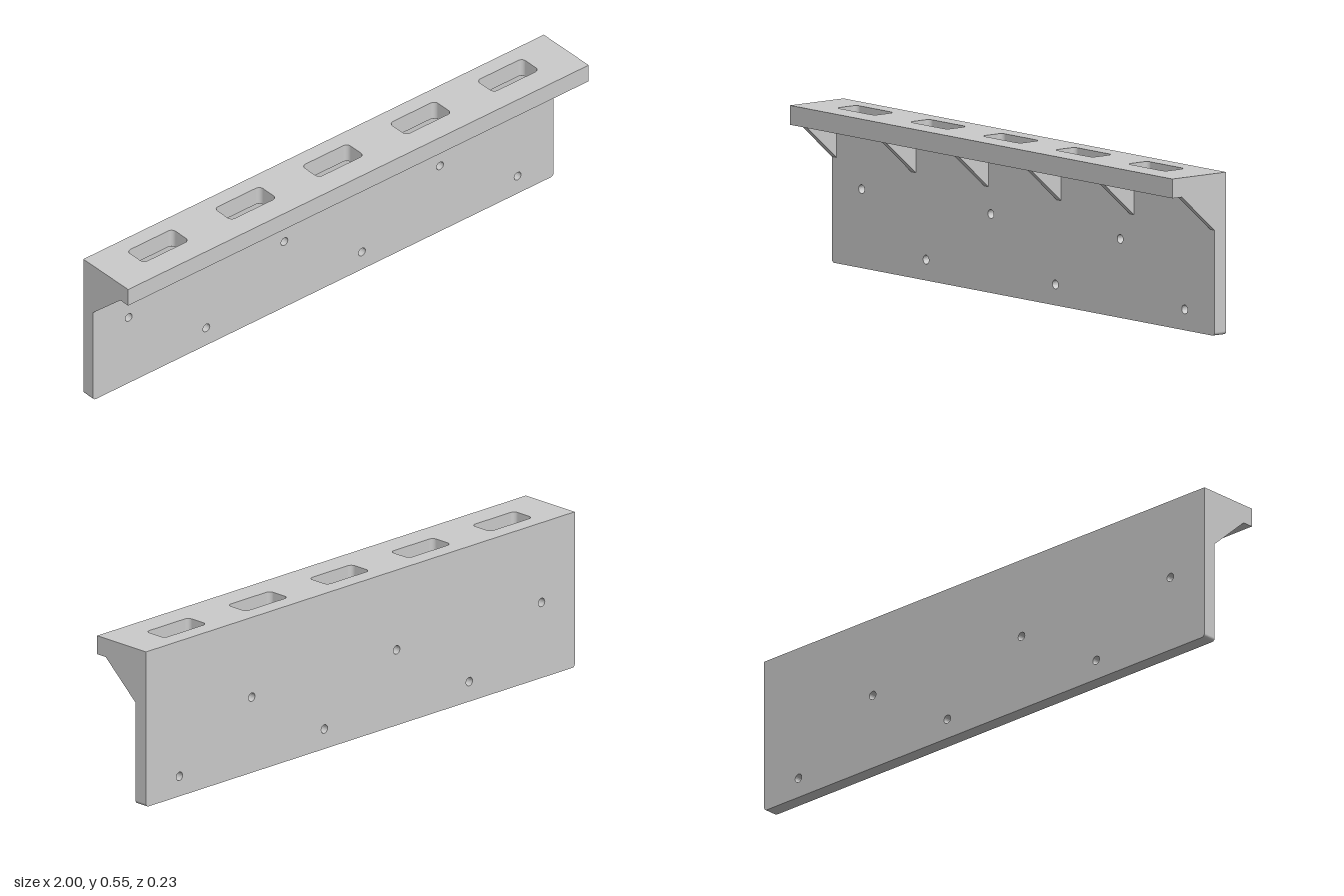
import * as THREE from 'three';

const BACK = -0.115, FRONT = 0.115, PLATE_FRONT = -0.065;
const TOP = 0.545, SHELF_BOTTOM = 0.48;

const material = new THREE.MeshStandardMaterial({ color: 0xcccccc });

// Rectangle path with separate radii for the lower and upper corners
function roundedRect(path, x0, y0, x1, y1, rLow, rHigh) {
  path.moveTo(x0 + rLow, y0);
  path.lineTo(x1 - rLow, y0);
  if (rLow) path.absarc(x1 - rLow, y0 + rLow, rLow, -Math.PI / 2, 0);
  path.lineTo(x1, y1 - rHigh);
  if (rHigh) path.absarc(x1 - rHigh, y1 - rHigh, rHigh, 0, Math.PI / 2);
  path.lineTo(x0 + rHigh, y1);
  if (rHigh) path.absarc(x0 + rHigh, y1 - rHigh, rHigh, Math.PI / 2, Math.PI);
  path.lineTo(x0, y0 + rLow);
  if (rLow) path.absarc(x0 + rLow, y0 + rLow, rLow, Math.PI, Math.PI * 1.5);
  return path;
}

function extrude(shape, depth) {
  return new THREE.ExtrudeGeometry(shape, { depth, bevelEnabled: false, curveSegments: 10 });
}

export function createModel() {
  const model = new THREE.Group();
  model.name = 'wallBracketRail';

  const add = (name, geometry) => {
    const mesh = new THREE.Mesh(geometry, material);
    mesh.name = name;
    model.add(mesh);
    return mesh;
  };

  // Back plate with two staggered rows of screw holes
  const plate = roundedRect(new THREE.Shape(), -1, 0, 1, SHELF_BOTTOM, 0.012, 0);
  for (let i = 0; i < 3; i++) {
    for (const [x, y] of [[-0.845, 0.265], [-0.508, 0.07]]) {
      plate.holes.push(new THREE.Path().absarc(x + i * 0.676, y, 0.015, 0, Math.PI * 2, true));
    }
  }
  add('backPlate', extrude(plate, PLATE_FRONT - BACK)).position.z = BACK;

  // Top shelf with five rounded slots, drawn in plan and laid flat
  const shelf = roundedRect(new THREE.Shape(), -1, BACK, 1, FRONT, 0, 0);
  for (let i = 0; i < 5; i++) {
    const x = -0.762 + i * 0.38;
    shelf.holes.push(roundedRect(new THREE.Path(), x - 0.099, -0.057, x + 0.099, 0.03, 0.017, 0.017));
  }
  add('shelf', extrude(shelf, TOP - SHELF_BOTTOM).rotateX(Math.PI / 2)).position.y = TOP;

  // Triangular ribs between the slots and flush with both ends
  const ribWidth = 0.024;
  const profile = new THREE.Shape([
    new THREE.Vector2(-PLATE_FRONT, 0.355),
    new THREE.Vector2(-PLATE_FRONT, SHELF_BOTTOM),
    new THREE.Vector2(-0.075, SHELF_BOTTOM),
  ]);
  const ribGeometry = extrude(profile, ribWidth).rotateY(Math.PI / 2).translate(-ribWidth / 2, 0, 0);
  const end = 1 - ribWidth / 2;
  for (const x of [-end, -0.573, -0.193, 0.187, 0.567, end]) {
    add('rib', ribGeometry).position.x = x;
  }

  return model;
}
